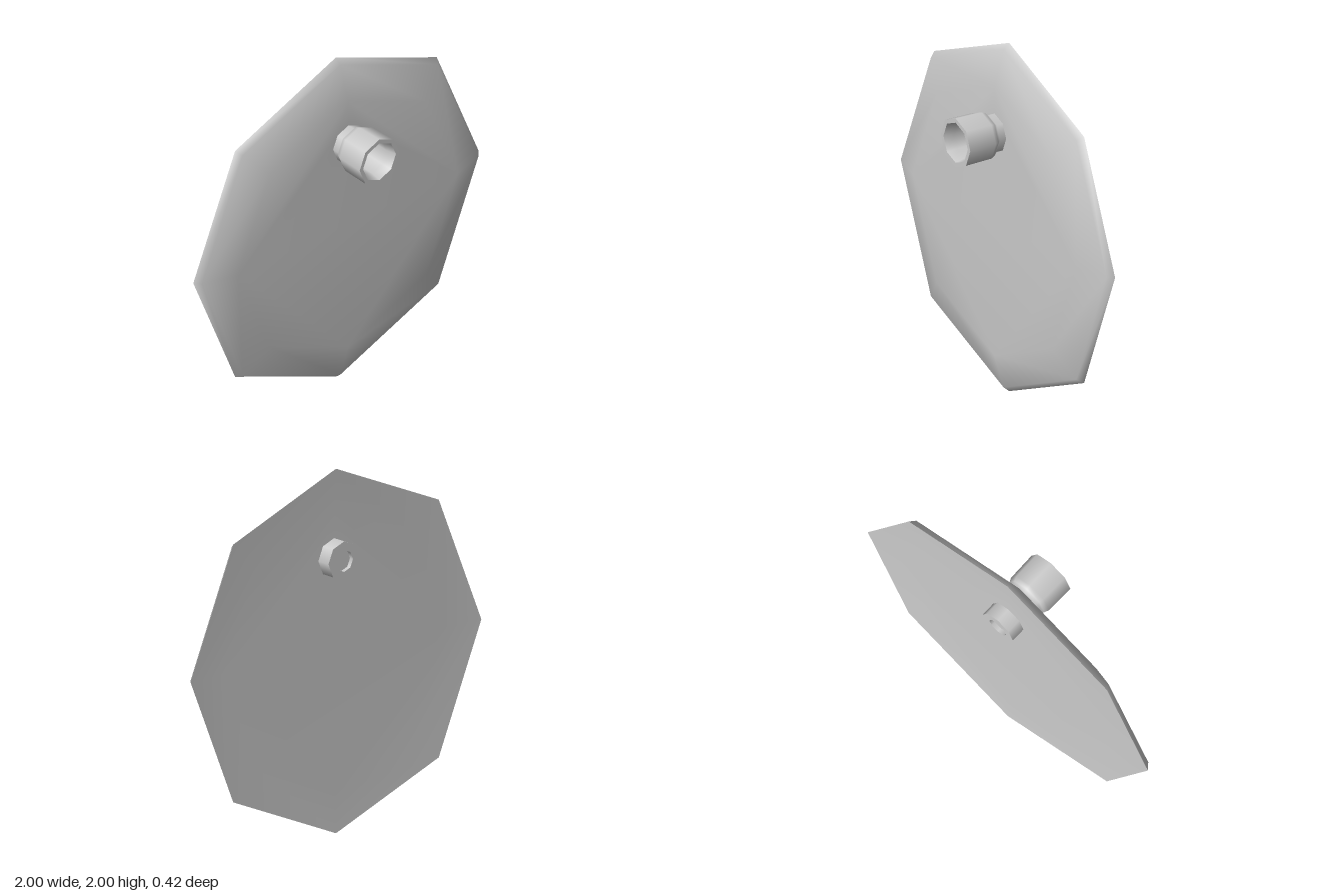
import * as THREE from 'three';
import { mergeGeometries, mergeVertices } from 'three/addons/utils/BufferGeometryUtils.js';

const SIDES = 8;
const TUBE_X = 0.005, TUBE_Y = 0.51; // tube axis measured from the plate centre
const material = new THREE.MeshStandardMaterial({ color: 0xcccccc });

// Octagonal surface of revolution about z from [radius, z] pairs
function turn(profile) {
  const pts = profile.map(([r, z]) => new THREE.Vector2(r, z));
  return new THREE.LatheGeometry(pts, SIDES).rotateX(Math.PI / 2);
}

function ring(path, x, y, r) {
  const pts = [];
  for (let i = 0; i < SIDES; i++) {
    const a = (i / SIDES) * Math.PI * 2;
    pts.push(new THREE.Vector2(x + r * Math.cos(a), y + r * Math.sin(a)));
  }
  return path.setFromPoints(pts);
}

// Flat octagon with an opening where the tube passes through
function disc(z, back) {
  const shape = ring(new THREE.Shape(), 0, 0, 0.77);
  shape.holes.push(ring(new THREE.Path(), back ? -TUBE_X : TUBE_X, TUBE_Y, 0.104));
  const g = new THREE.ShapeGeometry(shape);
  if (back) g.rotateY(Math.PI);
  return g.translate(0, 0, z);
}

// Weld the pieces so shading runs smoothly across them
function weld(parts) {
  for (const g of parts) {
    g.deleteAttribute('normal');
    g.deleteAttribute('uv');
  }
  const g = mergeVertices(mergeGeometries(parts), 1e-4);
  g.computeVertexNormals();
  return g;
}

function add(group, name, geometry) {
  const mesh = new THREE.Mesh(geometry, material);
  mesh.name = name;
  group.add(mesh);
}

export function createModel() {
  const model = new THREE.Group();
  model.name = 'wallPlateWithTube';

  // Octagonal plate: bevelled front, nearly flat back
  const plate = new THREE.Group();
  plate.name = 'plate';
  plate.position.y = 1;
  add(plate, 'plateFront', weld([
    turn([[1, -0.136], [0.97, -0.1], [0.77, -0.04]]),
    disc(-0.04, false),
  ]));
  add(plate, 'plateBack', weld([
    turn([[0.77, -0.126], [1, -0.136]]),
    disc(-0.126, true),
  ]));

  // Tube: wide open cup in front, narrow neck through the plate
  const tube = new THREE.Group();
  tube.name = 'tube';
  tube.position.set(TUBE_X, 1 + TUBE_Y, 0);
  add(tube, 'tubeWall', turn([[0.108, -0.21], [0.108, 0], [0.125, 0.02], [0.136, 0.045], [0.139, 0.21]]));
  add(tube, 'frontLip', turn([[0.139, 0.21], [0.115, 0.21]]));
  add(tube, 'bore', turn([[0.115, 0.21], [0.102, 0.15], [0.102, 0]]));
  add(tube, 'backLip', turn([[0.06, -0.21], [0.108, -0.21]]));
  add(tube, 'backRecessWall', turn([[0.06, -0.185], [0.06, -0.21]]));
  add(tube, 'backRecessFloor', turn([[0, -0.185], [0.06, -0.185]]));

  model.add(plate, tube);
  return model;
}
